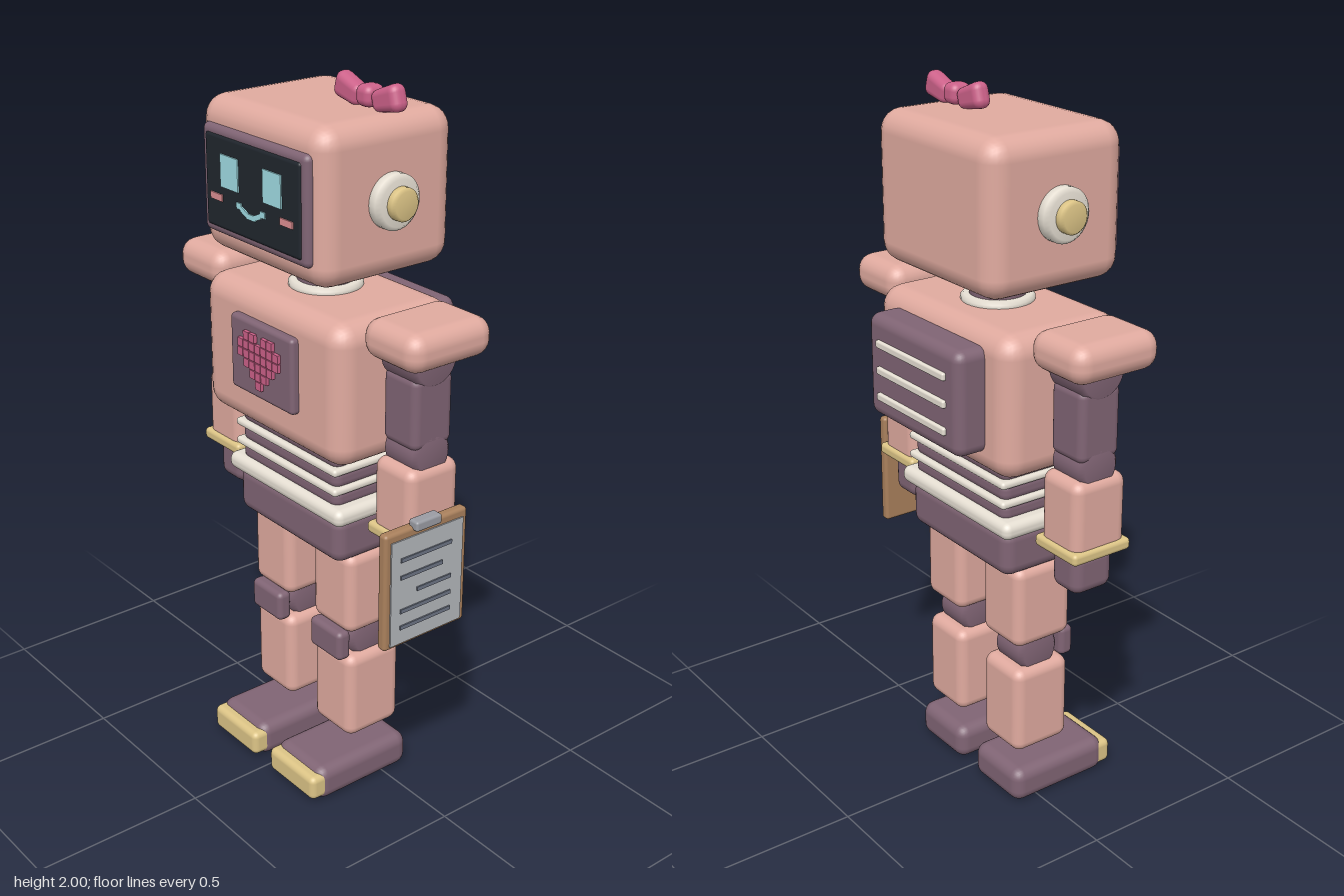
import * as THREE from 'three';
import { RoundedBoxGeometry } from 'three/addons/geometries/RoundedBoxGeometry.js';

const paint = (color) => new THREE.MeshStandardMaterial({ color });
const PINK = paint(0xe0aa9f), PLUM = paint(0x806474), CREAM = paint(0xe6dfd3), BRASS = paint(0xdcc486);
const GLASS = paint(0x20262d), CYAN = paint(0xa0dde4), ROSE = paint(0xcc6189), BLUSH = paint(0xdf8f93);
const WOOD = paint(0xa9805c), PAPER = paint(0xb4b7bc), INK = paint(0x6d7585), METAL = paint(0x9a9ca3);
const MID = 0.025; // depth of the body's centre line

function add(parent, name, geometry, material, x, y, z) {
  const mesh = new THREE.Mesh(geometry, material);
  mesh.name = name;
  mesh.position.set(x, y, z);
  parent.add(mesh);
  return mesh;
}

// Rounded block, given by centre, size and edge radius
function block(parent, name, material, [x, y, z], [w, h, d], r = 0.02) {
  return add(parent, name, new RoundedBoxGeometry(w, h, d, 3, r), material, x, y, z);
}

// Small sharp block for fine details
function chip(parent, name, material, [x, y, z], [w, h, d]) {
  return add(parent, name, new THREE.BoxGeometry(w, h, d), material, x, y, z);
}

// Disc with a bevelled rim, lying along x or y
function disc(parent, name, material, [x, y, z], radius, length, axis = 'y', bevel = 0.008) {
  const h = length / 2;
  const profile = [[0, -h], [radius - bevel, -h], [radius, -h + bevel], [radius, h - bevel], [radius - bevel, h], [0, h]];
  const geometry = new THREE.LatheGeometry(profile.map(([a, b]) => new THREE.Vector2(a, b)), 32);
  const mesh = add(parent, name, geometry, material, x, y, z);
  if (axis === 'x') mesh.rotation.z = Math.PI / 2;
  return mesh;
}

function makeHead() {
  const head = new THREE.Group();
  head.name = 'head';
  block(head, 'headShell', PINK, [0, 1.725, MID], [0.52, 0.41, 0.43], 0.06);
  block(head, 'screenFrame', PLUM, [0, 1.7225, 0.225], [0.44, 0.285, 0.06], 0.018);
  block(head, 'screen', GLASS, [0, 1.7225, 0.24], [0.4, 0.245, 0.04], 0.01);

  // Face
  for (const s of [-1, 1]) {
    chip(head, 'eye', CYAN, [s * 0.09, 1.757, 0.26], [0.075, 0.085, 0.008]);
    chip(head, 'cheek', BLUSH, [s * 0.148, 1.684, 0.26], [0.05, 0.018, 0.008]);
    chip(head, 'smileEnd', CYAN, [s * 0.05, 1.681, 0.26], [0.02, 0.016, 0.008]);
    chip(head, 'smileCurve', CYAN, [s * 0.028, 1.67, 0.26], [0.03, 0.014, 0.008]).rotation.z = s * 0.4;
    disc(head, 'earRim', CREAM, [s * 0.27, 1.725, MID], 0.072, 0.05, 'x', 0.012);
    disc(head, 'earCap', BRASS, [s * 0.3, 1.725, MID], 0.043, 0.04, 'x', 0.008);
  }
  chip(head, 'smileMiddle', CYAN, [0, 1.663, 0.26], [0.036, 0.014, 0.008]);

  // Bow: lobes widen away from the knot
  const bow = new THREE.Group();
  bow.name = 'bow';
  bow.position.set(0.145, 1.96, 0);
  for (const s of [-1, 1]) {
    const lobe = block(bow, 'bowLobe', ROSE, [s * 0.072, 0.002, 0], [0.1, 0.07, 0.05], 0.022);
    const p = lobe.geometry.attributes.position;
    for (let i = 0; i < p.count; i++) p.setY(i, p.getY(i) * (0.9 + s * p.getX(i) * 3));
    lobe.geometry.computeBoundingSphere();
    lobe.rotation.z = s * 0.28;
  }
  block(bow, 'bowKnot', ROSE, [0, 0, 0], [0.056, 0.056, 0.062], 0.02);
  head.add(bow);

  disc(head, 'neck', PLUM, [0, 1.485, MID], 0.077, 0.13);
  disc(head, 'collar', CREAM, [0, 1.442, MID], 0.1, 0.03);
  return head;
}

function makeTorso() {
  const torso = new THREE.Group();
  torso.name = 'torso';
  block(torso, 'chest', PINK, [0, 1.2425, MID], [0.6, 0.395, 0.39], 0.06);
  block(torso, 'chestPanel', PLUM, [0, 1.265, 0.22], [0.27, 0.21, 0.044], 0.012);

  // Heart made of little tiles
  const rows = [[1, 2, 4, 5], [0, 1, 2, 3, 4, 5, 6], [0, 1, 2, 3, 4, 5, 6], [1, 2, 3, 4, 5], [2, 3, 4], [3]];
  rows.forEach((columns, row) => columns.forEach((column) =>
    chip(torso, 'heartTile', ROSE, [(column - 3) * 0.0255, 1.33 - row * 0.0255, 0.244], [0.023, 0.023, 0.016])));

  // Backpack with vents
  block(torso, 'backpack', PLUM, [0, 1.255, -0.2], [0.42, 0.29, 0.11], 0.03);
  for (const y of [1.325, 1.25, 1.175]) {
    block(torso, 'backVent', CREAM, [0, y, -0.255], [0.315, 0.022, 0.02], 0.006);
  }

  // Ribbed waist, belt and hips
  for (const y of [1.035, 0.977, 0.92]) {
    block(torso, 'waistRib', PLUM, [0, y, MID], [0.425, 0.06, 0.27], 0.025);
  }
  for (const y of [1.005, 0.948]) {
    block(torso, 'waistRing', CREAM, [0, y, MID], [0.445, 0.022, 0.295], 0.01);
  }
  block(torso, 'belt', CREAM, [0, 0.88, MID], [0.5, 0.05, 0.315], 0.022);
  block(torso, 'hips', PLUM, [0, 0.8, MID], [0.455, 0.14, 0.28], 0.035);
  return torso;
}

function makeArm(s) {
  const arm = new THREE.Group();
  arm.name = s > 0 ? 'leftArm' : 'rightArm';
  const x = s * 0.375;
  block(arm, 'shoulderPad', PINK, [s * 0.405, 1.4125, MID], [0.21, 0.105, 0.27], 0.045);
  disc(arm, 'shoulderJoint', PLUM, [x, 1.36, MID], 0.077, 0.135, 'x', 0.012);
  block(arm, 'upperArm', PLUM, [x, 1.22, MID], [0.128, 0.2, 0.13], 0.022);
  disc(arm, 'elbow', PLUM, [x, 1.1, MID], 0.062, 0.128, 'x', 0.012);
  block(arm, 'forearm', PINK, [x, 0.968, MID], [0.152, 0.215, 0.17], 0.03);
  block(arm, 'bracelet', BRASS, [x, 0.869, MID], [0.17, 0.034, 0.19], 0.012);
  block(arm, 'hand', PLUM, [x, 0.8, MID], [0.11, 0.12, 0.13], 0.03);
  block(arm, 'thumb', PLUM, [s * 0.308, 0.82, 0.05], [0.044, 0.07, 0.05], 0.016);
  return arm;
}

function makeLeg(s) {
  const leg = new THREE.Group();
  leg.name = s > 0 ? 'leftLeg' : 'rightLeg';
  const x = s * 0.137;
  block(leg, 'thigh', PINK, [x, 0.615, MID], [0.17, 0.245, 0.19], 0.03);
  disc(leg, 'kneeJoint', PLUM, [x, 0.453, MID], 0.065, 0.125, 'x', 0.012);
  block(leg, 'kneePad', PLUM, [x, 0.455, 0.12], [0.135, 0.09, 0.045], 0.016);
  block(leg, 'shin', PINK, [x, 0.285, MID], [0.168, 0.265, 0.185], 0.03);
  block(leg, 'shoe', PLUM, [x, 0.0525, 0.078], [0.212, 0.105, 0.325], 0.034);
  block(leg, 'toeCap', BRASS, [x, 0.053, 0.235], [0.206, 0.074, 0.06], 0.018);
  return leg;
}

function makeClipboard() {
  const board = new THREE.Group();
  board.name = 'clipboard';
  board.position.set(0.478, 0.787, 0.088);
  block(board, 'board', WOOD, [0, 0, 0], [0.03, 0.335, 0.275], 0.01);
  chip(board, 'paper', PAPER, [0.015, -0.006, 0], [0.008, 0.3, 0.24]);
  block(board, 'clip', METAL, [0.012, 0.17, 0.004], [0.034, 0.028, 0.085], 0.007);
  // Ruled lines as [height, start, end]
  const lines = [[0.088, 0.09, -0.08], [0.038, 0.09, -0.05], [-0.012, 0.035, -0.08], [-0.06, 0.09, -0.08], [-0.108, 0.09, -0.08]];
  for (const [y, a, b] of lines) {
    chip(board, 'ruledLine', INK, [0.02, y, (a + b) / 2], [0.006, 0.011, a - b]);
  }
  return board;
}

export function createModel() {
  const robot = new THREE.Group();
  robot.name = 'robot';
  robot.add(makeHead(), makeTorso(), makeClipboard());
  for (const s of [-1, 1]) robot.add(makeArm(s), makeLeg(s));
  return robot;
}
